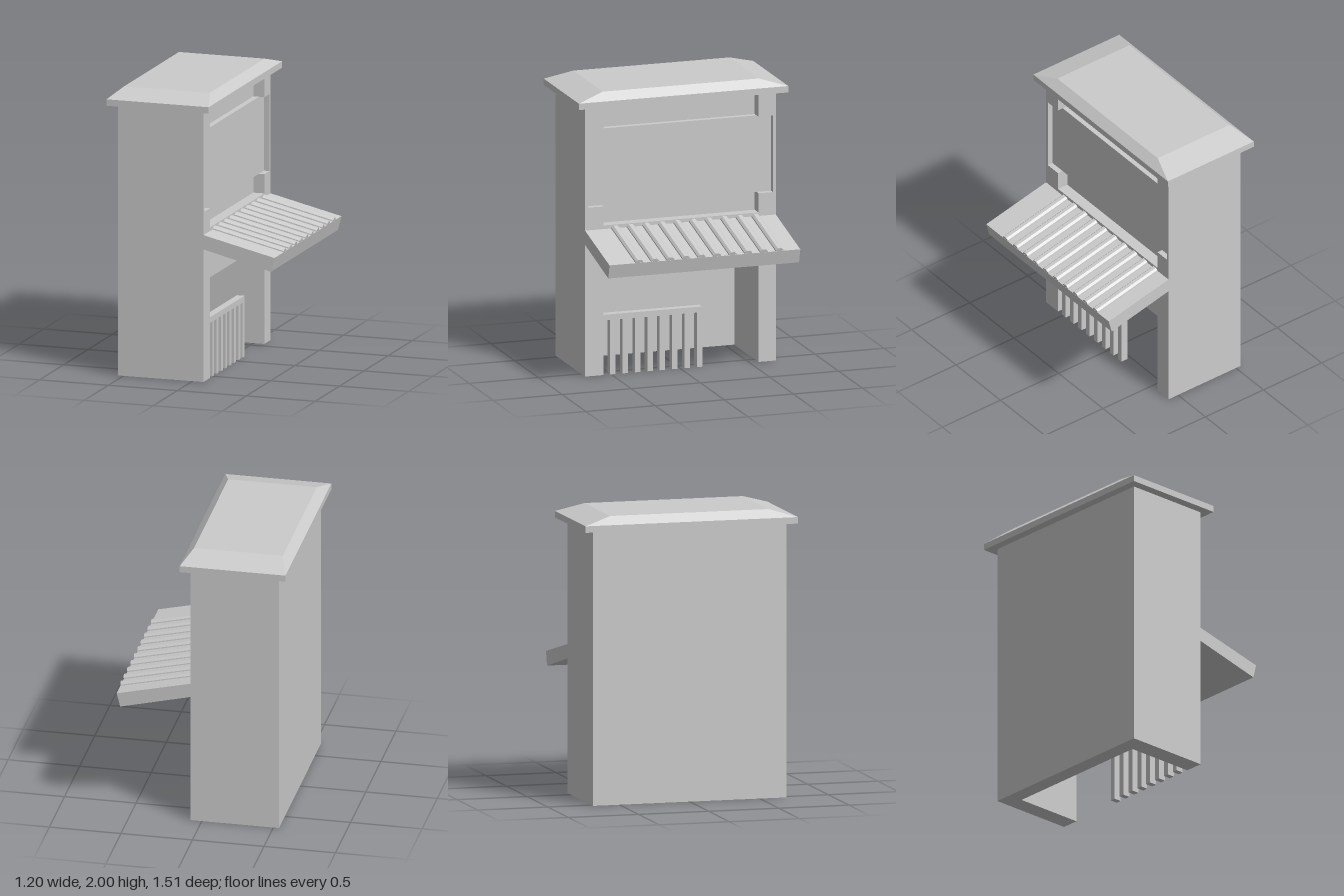
import * as THREE from 'three';

const material = new THREE.MeshStandardMaterial({ color: 0xcccccc, flatShading: true });

// Closed shape from [u, y] pairs; u runs along -z
function outline(points) {
  return new THREE.Shape(points.map(([u, y]) => new THREE.Vector2(u, y)));
}

// Extrude a (u, y) shape along x from x0 to x1
function slabAlongX(name, shape, x0, x1) {
  const geo = new THREE.ExtrudeGeometry(shape, { depth: x1 - x0, bevelEnabled: false });
  geo.rotateY(Math.PI / 2).translate(x0, 0, 0);
  const mesh = new THREE.Mesh(geo, material);
  mesh.name = name;
  return mesh;
}

// Box given by its minimum and maximum on each axis
function box(name, [x0, x1], [y0, y1], [z0, z1]) {
  const geo = new THREE.BoxGeometry(x1 - x0, y1 - y0, z1 - z0);
  geo.translate((x0 + x1) / 2, (y0 + y1) / 2, (z0 + z1) / 2);
  const mesh = new THREE.Mesh(geo, material);
  mesh.name = name;
  return mesh;
}

const W = 0.69, H = 1.9;          // half width and wall height
const L = -0.555, R = 0.565;      // sides of the openings
const legs = [[-W, 0], [L, 0], [L, 0.705], [R, 0.705], [R, 0], [W, 0]];

// Booth body in layers from back to counter side
function createBody() {
  const body = new THREE.Group();
  body.name = 'body';
  body.add(box('backWall', [-0.54, -0.43], [0, H], [-W, W]));
  body.add(slabAlongX('core', outline([...legs, [W, H], [-W, H]]), -0.43, 0));

  // Layer holding the window panel, with gaps above and below it
  const panelLayer = outline([...legs, [W, H], [R, H], [R, 1.73], [L, 1.73], [L, H], [-W, H]]);
  panelLayer.holes.push(outline([[L, 1.055], [L, 1.19], [R, 1.19], [R, 1.055]]));
  body.add(slabAlongX('windowPanel', panelLayer, 0, 0.04));

  // Outer frame with side slots
  const frame = outline([...legs, [W, H], [R, H], [R, 1.73], [0.67, 1.73], [0.67, 1.19], [R, 1.19],
    [R, 1.055], [L, 1.055], [L, 1.19], [-0.67, 1.19], [-0.67, 1.73], [L, 1.73], [L, H], [-W, H]]);
  body.add(slabAlongX('windowFrame', frame, 0.04, 0.08));
  return body;
}

// Slatted gate covering part of the lower opening
function createGate() {
  const gate = new THREE.Group();
  gate.name = 'gate';
  const x = [0.025, 0.08];
  gate.add(box('gateRail', x, [0.385, 0.425], [-0.155, 0.555]));
  for (let i = 0; i < 8; i++) {
    const z = 0.508 - i * 0.0895;
    gate.add(box('gateSlat', x, [0, 0.385], [z - 0.0395, z]));
  }
  return gate;
}

// Sloping counter with raised ribs running down it
function createCounter() {
  const counter = new THREE.Group();
  counter.name = 'counter';
  const side = new THREE.Shape([[0.08, 0.93], [0.57, 0.81], [0.595, 0.908], [0.08, 1.03]]
    .map(([x, y]) => new THREE.Vector2(x, y)));
  const board = new THREE.Mesh(
    new THREE.ExtrudeGeometry(side, { depth: 2 * W, bevelEnabled: false }).translate(0, 0, -W), material);
  board.name = 'counterBoard';
  counter.add(board);

  const profile = outline([[-0.029, -0.005], [0.029, -0.005], [0.027, 0.008], [0.013, 0.021], [-0.013, 0.021], [-0.027, 0.008]]);
  const slope = Math.atan2(0.122, 0.515);
  for (let i = 0; i < 10; i++) {
    const rib = slabAlongX('counterRib', profile, 0, 0.528);
    rib.rotation.z = -slope;
    rib.position.set(0.08, 1.03, -0.54 + i * 0.1126);
    counter.add(rib);
  }
  return counter;
}

// Flat eave with a hipped cap on top
function createRoof() {
  const roof = new THREE.Group();
  roof.name = 'roof';
  roof.add(box('eave', [-0.6, 0.14], [H, 1.945], [-0.76, 0.755]));
  const geo = new THREE.BoxGeometry(0.74, 0.055, 1.515);
  const p = geo.attributes.position;
  for (let i = 0; i < p.count; i++) {
    if (p.getY(i) > 0) {
      p.setX(i, Math.sign(p.getX(i)) * 0.31);
      p.setZ(i, Math.sign(p.getZ(i)) * 0.565);
    }
  }
  geo.computeVertexNormals();
  const cap = new THREE.Mesh(geo, material);
  cap.name = 'roofCap';
  cap.position.set(-0.23, 1.9725, -0.0025);
  roof.add(cap);
  return roof;
}

export function createModel() {
  const model = new THREE.Group();
  model.name = 'booth';
  model.add(createBody(), createGate(), createCounter(), createRoof());
  return model;
}
